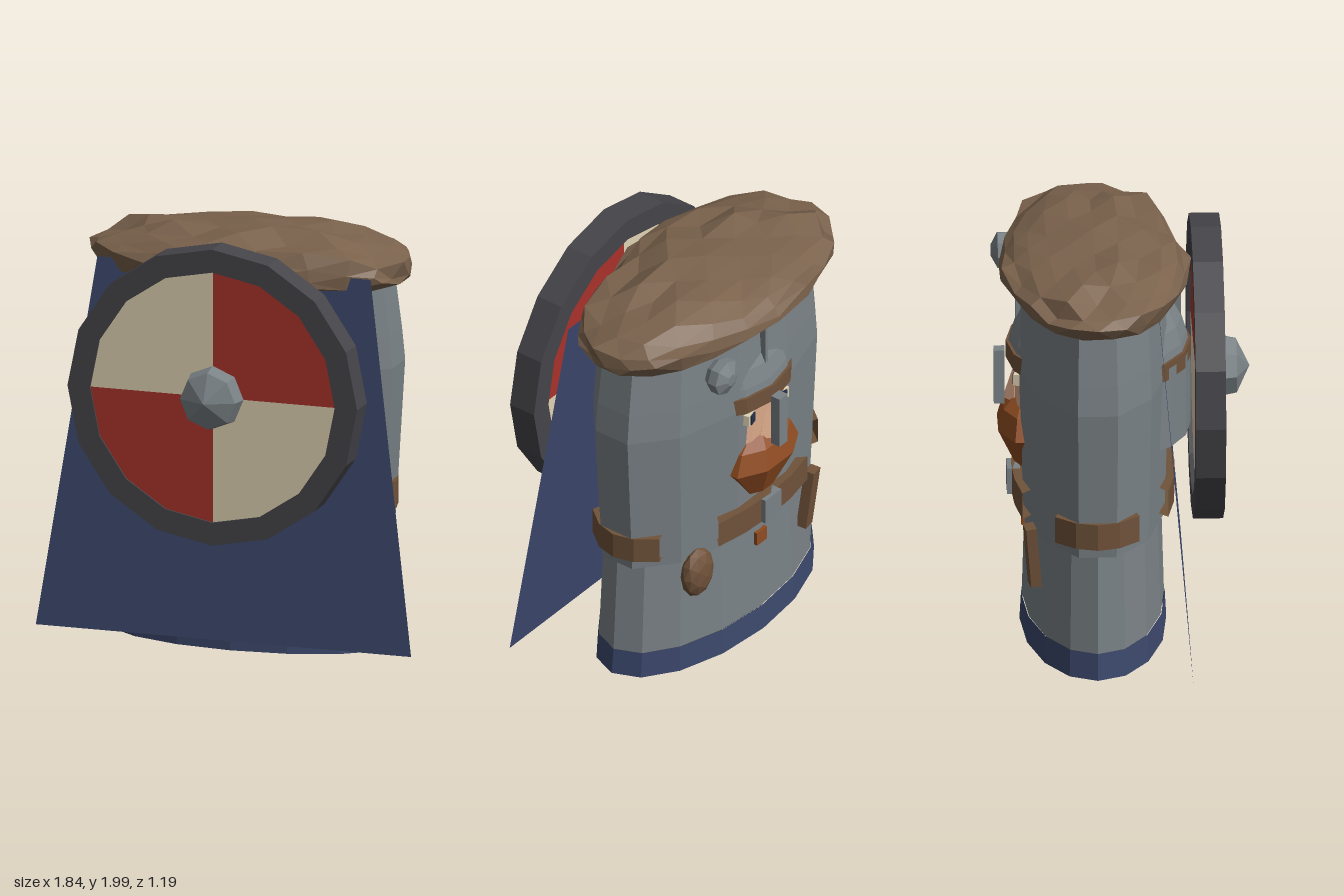
import * as THREE from 'three';

const paint = (name, color) => {
  const m = new THREE.MeshStandardMaterial({ color });
  m.name = name;
  m.flatShading = true;
  m.side = THREE.DoubleSide;
  return m;
};

export function createModel() {
  const steel = paint('steel', 0x7a8286), blue = paint('blue cloth', 0x3c486c);
  const red = paint('red', 0xa8322a), cream = paint('cream', 0xe0d2b3);
  const iron = paint('dark iron', 0x45454a), fur = paint('fur', 0x7a624c);
  const leather = paint('leather', 0x70523a), ginger = paint('ginger', 0x8f4c22);
  const skin = paint('skin', 0xdcaa8a), pupil = paint('pupil', 0x27304a);

  const model = new THREE.Group();
  const rad = THREE.MathUtils.degToRad;
  const CZ = -0.135, HZ = -0.11; // centre lines of the body and the head

  const add = (name, geo, mat, x = 0, y = 0, z = 0, parent = model) => {
    const m = new THREE.Mesh(geo, mat);
    m.name = name;
    m.position.set(x, y, z);
    parent.add(m);
    return m;
  };
  const lathe = (pts, n, start = 0) =>
    new THREE.LatheGeometry(pts.map(p => new THREE.Vector2(...p)), n, rad(start));
  const box = (w, h, d) => new THREE.BoxGeometry(w, h, d);
  // pie-shaped slice, angle measured from +z towards +x
  const slice = (r, h, n, mid, half) =>
    new THREE.CylinderGeometry(r, r, h, n, 1, false, rad(mid - half), rad(2 * half));

  // Body: oval hem and skirt, open below with a dark lining, and a mail shirt
  add('hem', lathe([[0.71, 0], [0.695, 0.13]], 16).scale(1, 1, 0.48), blue, 0, 0, CZ);
  add('skirt', lathe([[0.695, 0.13], [0.665, 0.64]], 16).scale(1, 1, 0.475), steel, 0, 0, CZ);
  add('lining', lathe([[0.69, 0.12], [0.65, 0.6], [0, 0.6]], 16).scale(1, 1, 0.468), iron, 0, 0, CZ);
  add('mailShirt', lathe([[0, 0.61], [0.69, 0.61], [0.735, 1.35], [0.72, 1.5], [0.68, 1.8], [0, 1.8]], 12, 15)
    .scale(1, 1, 0.49), steel, 0, 0, CZ);

  // Cape: flat trapezoid
  const cape = new THREE.PlaneGeometry(2, 1);
  const cp = cape.attributes.position;
  for (let i = 0; i < cp.count; i++) {
    const top = cp.getY(i) > 0;
    cp.setXYZ(i, cp.getX(i) * (top ? 0.67 : 0.92), top ? 1.82 : 0.07, top ? 0.15 : 0.3);
  }
  add('cape', cape, blue);

  // Belt: front, back and side pieces with a buckle and things hanging from it
  for (const [mid, half, rx] of [[0, 27, 0.74], [90, 31, 0.7], [180, 27, 0.74], [270, 31, 0.7]])
    add('belt', slice(1, 0.13, 4, mid, half).scale(rx, 1, 0.38), leather, 0, 0.725, CZ);
  add('buckle', box(0.12, 0.13, 0.06), steel, 0, 0.725, -0.505);
  add('beltPendant', box(0.075, 0.07, 0.03), ginger, 0, 0.525, -0.453);
  add('pouch', new THREE.IcosahedronGeometry(1, 1).scale(0.1, 0.13, 0.06), leather, 0.41, 0.53, -0.405);
  add('scabbard', box(0.07, 0.31, 0.05), leather, -0.4, 0.505, -0.43).rotation.set(-0.1, 0.2, 0.1);

  // Head: face, hood, helmet and brow band
  const head = new THREE.Group();
  head.name = 'head';
  model.add(head);
  add('face', slice(0.393, 0.38, 6, 180, 45), skin, 0, 1.18, HZ, head);
  add('hood', slice(0.428, 0.4, 8, 0, 80), steel, 0, 1.19, HZ, head);
  add('helmet', lathe([[0.42, 1.4], [0.41, 1.46], [0.385, 1.54], [0.35, 1.61], [0.28, 1.7], [0, 1.8]], 16),
    steel, 0, 0, HZ, head);
  add('browBand', new THREE.CylinderGeometry(0.43, 0.43, 0.085, 16), leather, 0, 1.38, HZ, head);
  add('helmetRidge', box(0.02, 0.26, 0.77), steel, 0, 1.6, HZ, head);
  add('noseGuard', box(0.06, 0.27, 0.05), steel, 0, 1.245, -0.57, head);
  add('nose', new THREE.ConeGeometry(0.06, 0.17, 4).scale(1, 1, 0.9), skin, 0, 1.215, -0.5, head);
  for (const s of [-1, 1]) {
    add('eye', box(0.085, 0.055, 0.04), cream, s * 0.115, 1.285, -0.48, head).rotation.y = s * 0.25;
    add('pupil', box(0.042, 0.05, 0.008), pupil, s * 0.115, 1.282, -0.503, head).rotation.y = s * 0.25;
  }
  // Beard: broad faceted lump narrowing to the chin
  add('beard', lathe([[0, 0.8], [0.1, 0.82], [0.25, 1.0], [0.2, 1.1], [0.07, 1.17], [0, 1.17]], 8, 22.5)
    .scale(1, 1, 0.55), ginger, 0, 0, -0.45, head);

  // Fur on top: flattened lump, roughened by a rule that depends on position
  const pelt = new THREE.IcosahedronGeometry(1, 3);
  const pp = pelt.attributes.position;
  const rough = (x, y, z) => {
    const h = Math.sin(Math.round(x * 50) * 12.99 + Math.round(y * 50) * 78.23 + Math.round(z * 50) * 37.72) * 43758.5;
    return h - Math.floor(h) - 0.5;
  };
  for (let i = 0; i < pp.count; i++) {
    const x = pp.getX(i), y = pp.getY(i), z = pp.getZ(i);
    const n = rough(x, y, z), wave = 0.03 * Math.sin(5 * x + 2) * Math.cos(6 * z);
    const k = 1.01 + wave + n * 0.09;
    const lift = y > 0 ? y ** 0.9 * 0.14 : -((-y) ** 0.6) * 0.115;
    const droop = 0.04 * x * x + 0.03 * Math.max(0, z) ** 2;
    pp.setXYZ(i, x * 0.77 * k, lift + n * 0.05 - droop, z * 0.43 * k);
  }
  add('furMantle', pelt, fur, 0, 1.845, CZ);

  // Brooch
  add('brooch', lathe([[0, 0], [0.07, 0], [0.088, 0.03], [0.088, 0.075], [0.03, 0.105], [0, 0.105]], 8)
    .rotateX(-Math.PI / 2), steel, 0.39, 1.7, -0.49);

  // Round shield: rim, four painted quarters and boss
  const shield = new THREE.Group();
  shield.name = 'shield';
  shield.position.set(0, 1.275, 0.32);
  model.add(shield);
  add('shieldRim', lathe([[0.6, 0], [0.71, 0], [0.71, 0.14], [0.6, 0.14], [0.6, 0]], 16)
    .rotateX(Math.PI / 2), iron, 0, 0, 0, shield);
  for (let q = 0; q < 4; q++)
    add('shieldQuarter', slice(0.605, 0.11, 4, 45 + 90 * q, 45).rotateX(Math.PI / 2),
      q % 2 ? red : cream, 0, 0, 0.075, shield);
  add('shieldBoss', lathe([[0.15, 0.12], [0.15, 0.14], [0.135, 0.21], [0, 0.272]], 8)
    .rotateX(Math.PI / 2), steel, 0, 0, 0, shield);

  return model;
}
